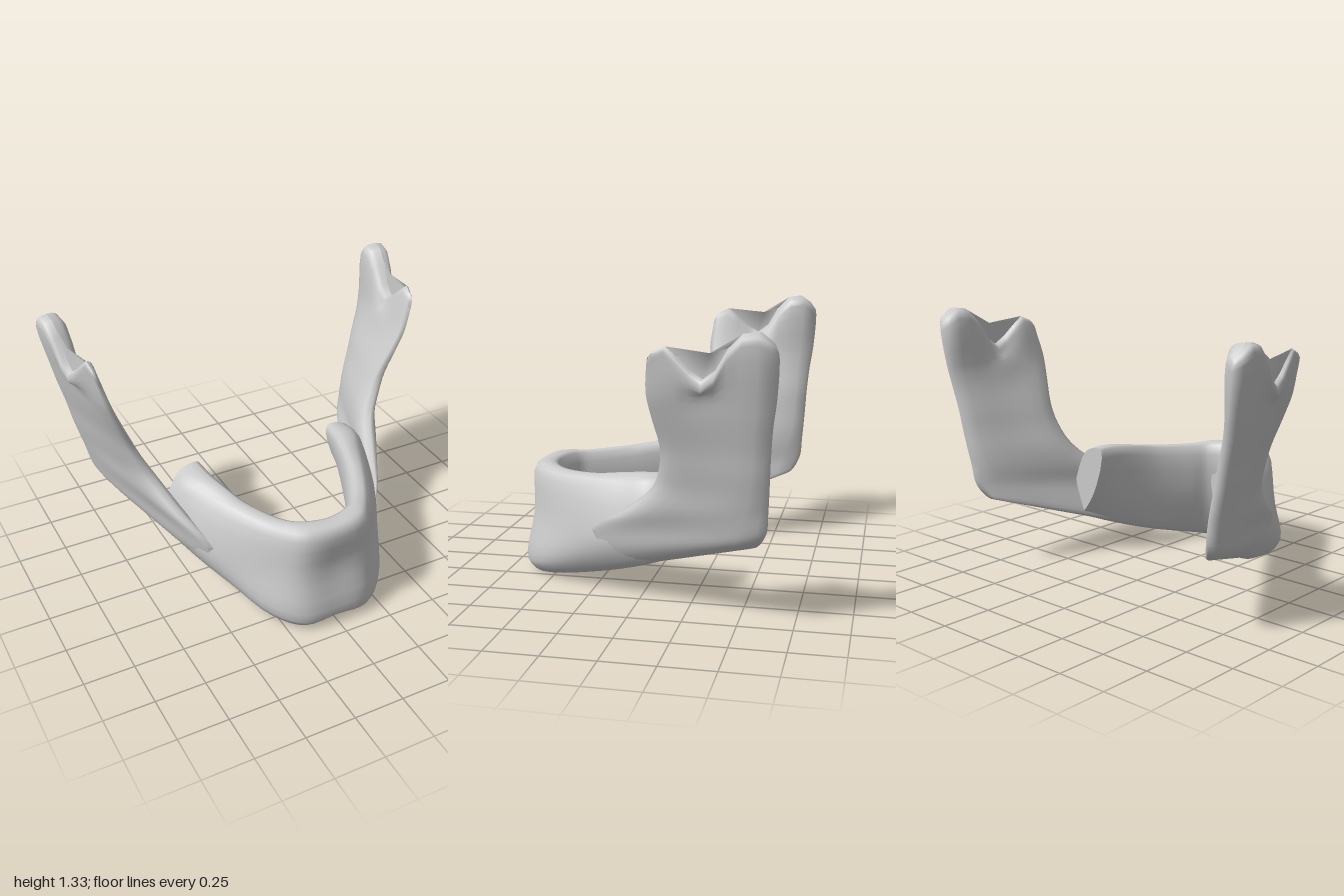
import * as THREE from 'three';

const V = (p) => new THREE.Vector3(...p);
const grey = new THREE.MeshStandardMaterial({ color: 0xcccccc });

// smooth curve through points, sampled n times per span
function smooth(points, n, closed = false) {
  const curve = new THREE.CatmullRomCurve3(points, closed);
  const count = (closed ? points.length : points.length - 1) * n;
  return Array.from({ length: closed ? count : count + 1 }, (_, i) => curve.getPoint(i / count));
}

// skin closed rings of equal size, smoothing from ring to ring
function loft(rings, n) {
  const size = rings[0].length;
  const columns = rings[0].map((_, j) => smooth(rings.map((r) => r[j]), n));
  const rows = columns[0].length;
  const pos = [], idx = [];
  for (let i = 0; i < rows; i++) for (const c of columns) pos.push(c[i].x, c[i].y, c[i].z);
  for (let i = 0; i < rows - 1; i++) {
    for (let j = 0; j < size; j++) {
      const a = i * size + j, b = i * size + (j + 1) % size;
      idx.push(a, b, b + size, a, b + size, a + size);
    }
  }
  // flat end caps with their own vertices
  [0, rows - 1].forEach((i) => {
    const base = pos.length / 3, mid = new THREE.Vector3();
    columns.forEach((c) => { pos.push(c[i].x, c[i].y, c[i].z); mid.addScaledVector(c[i], 1 / size); });
    pos.push(mid.x, mid.y, mid.z);
    for (let j = 0; j < size; j++) {
      const a = base + j, b = base + (j + 1) % size;
      idx.push(base + size, i ? a : b, i ? b : a);
    }
  });
  // turn the faces outward
  let volume = 0;
  const at = (k) => new THREE.Vector3().fromArray(pos, idx[k] * 3);
  for (let k = 0; k < idx.length; k += 3) volume += at(k).dot(at(k + 1).cross(at(k + 2)));
  if (volume < 0) idx.reverse();
  const g = new THREE.BufferGeometry();
  g.setAttribute('position', new THREE.Float32BufferAttribute(pos, 3));
  g.setIndex(idx);
  g.computeVertexNormals();
  return g;
}

const mirrored = (ring) => ring.map((p) => new THREE.Vector3(-p.x, p.y, p.z));

// body sections: bottom, outer low, outer middle, outer top, inner top, inner middle
const STATIONS = [
  [[0, .035, .62], [0, .07, .675], [0, .32, .63], [0, .545, .635], [0, .55, .53], [0, .25, .54]],
  [[.16, .01, .60], [.17, .06, .66], [.17, .32, .62], [.16, .55, .60], [.14, .55, .49], [.14, .25, .50]],
  [[.27, .03, .48], [.30, .09, .55], [.29, .30, .51], [.26, .54, .47], [.20, .545, .42], [.20, .25, .41]],
  [[.36, .08, .27], [.42, .16, .30], [.44, .30, .29], [.37, .55, .26], [.29, .555, .25], [.29, .28, .24]],
  [[.45, .14, .08], [.51, .22, .10], [.53, .33, .10], [.44, .56, .10], [.33, .575, .13], [.37, .30, .06]],
  [[.51, .19, -.05], [.56, .27, -.03], [.56, .36, -.03], [.49, .575, -.03], [.36, .59, 0], [.40, .35, -.04]],
  [[.54, .22, -.12], [.58, .30, -.12], [.57, .37, -.12], [.48, .575, -.12], [.37, .595, -.12], [.43, .35, -.12]],
];

// branch rows, bottom to top: front edge, back edge, half thickness at front and back
const ROWS = [
  [[.40, .115, .18], [.72, .365, -.57], 0, 0],
  [[.405, .13, .19], [.725, .375, -.585], .025, .03],
  [[.44, .22, .22], [.75, .41, -.61], .04, .045],
  [[.465, .33, .24], [.77, .46, -.63], .03, .05],
  [[.55, .46, .06], [.785, .54, -.635], .05, .05],
  [[.62, .59, -.09], [.805, .62, -.64], .05, .05],
  [[.675, .70, -.135], [.83, .72, -.645], .045, .05],
  [[.715, .80, -.145], [.85, .82, -.65], .04, .05],
  [[.77, .94, -.12], [.88, .94, -.66], .032, .05],
  [[.81, 1.05, -.105], [.90, 1.05, -.675], .028, .055],
];
// top edge heights along the branch: front point, notch, rear knob
const STEPS = [0, .04, .14, .24, .34, .44, .54, .64, .75, .87, .96, 1];
const TOP = [1.21, 1.235, 1.26, 1.215, 1.165, 1.13, 1.17, 1.265, 1.325, 1.335, 1.30, 1.27];

// flattened ring between a front and a back edge
function branchRing(a, b, ta, tb, drop = null) {
  const A = V(a), B = V(b);
  const side = new THREE.Vector3(A.z - B.z, 0, B.x - A.x).normalize();
  const edge = (sign) => STEPS.map((s, i) => {
    const w = Math.sqrt(1 - (2 * s - 1) ** 4) * THREE.MathUtils.lerp(ta, tb, s ** 1.5);
    const p = A.clone().lerp(B, s).addScaledVector(side, sign * w);
    if (drop !== null) p.y = TOP[i] - drop;
    return p;
  });
  return [...edge(1), ...edge(-1).slice(1, -1).reverse()];
}

export function createModel() {
  const group = new THREE.Group();
  const add = (name, geometry) => {
    const mesh = new THREE.Mesh(geometry, grey);
    mesh.name = name;
    group.add(mesh);
  };

  // curved front body with the tooth ridge, mirrored about the middle
  const half = STATIONS.map((s) => smooth(s.map(V), 4, true));
  add('jawBody', loft([...half.slice(1).reverse().map(mirrored), ...half], 4));

  // rising rear branches with notch and rounded rear knob
  const branch = ROWS.map((r) => branchRing(...r));
  branch.push(
    branchRing([.845, 1.2, -.115], [.925, 1.25, -.685], .022, .085, .05),
    branchRing([.855, 1.2, -.12], [.93, 1.25, -.68], .016, .06, .012),
    branchRing([.86, 1.2, -.125], [.935, 1.25, -.67], 0, 0, 0),
  );
  add('leftBranch', loft(branch, 3));
  add('rightBranch', loft(branch.map(mirrored), 3));
  return group;
}
